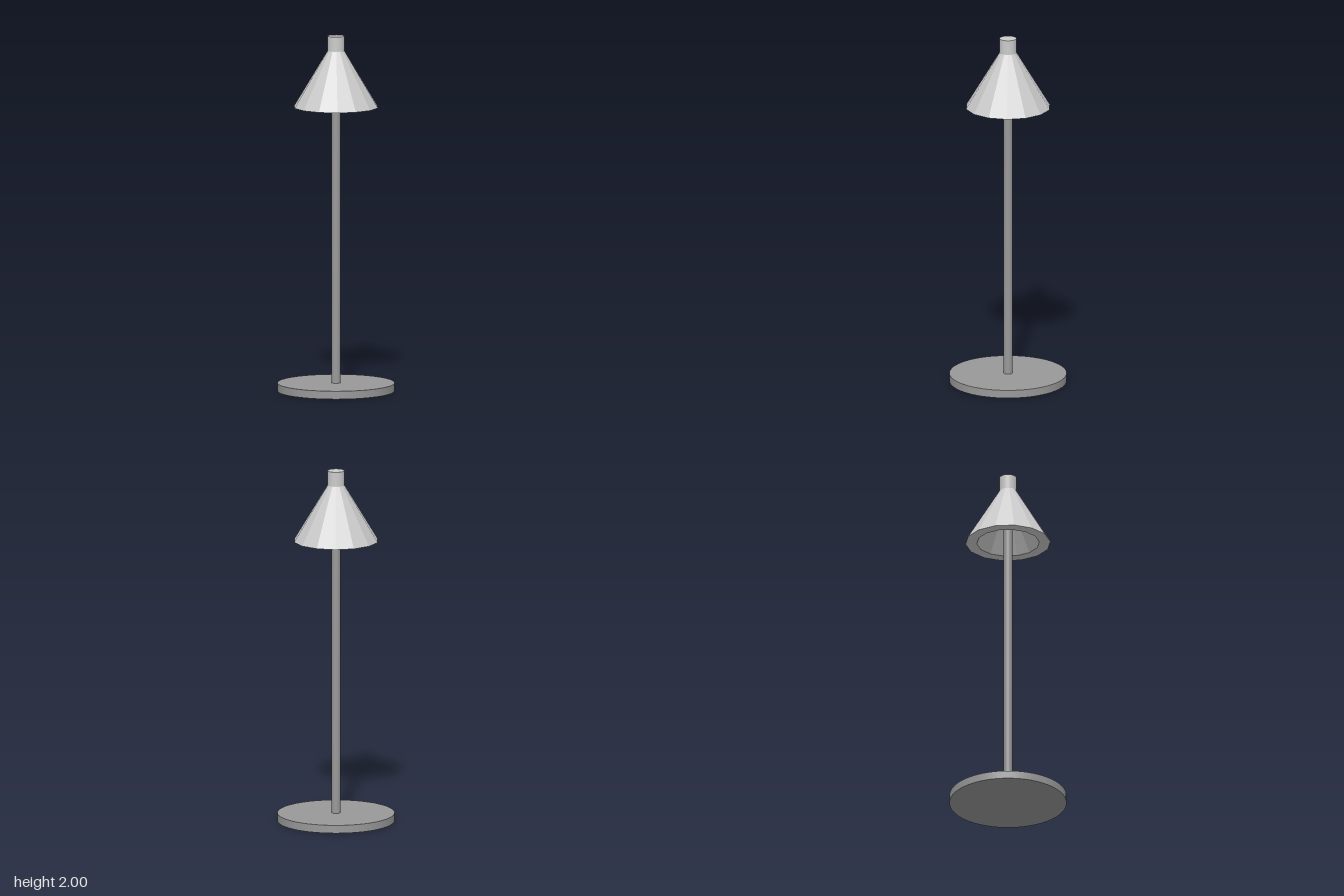
import * as THREE from 'three';

export function createModel() {
  const lamp = new THREE.Group();
  lamp.name = 'lamp';

  const dark = new THREE.MeshStandardMaterial({ color: 0x999999 });
  const light = new THREE.MeshStandardMaterial({ color: 0xcccccc });
  const faceted = new THREE.MeshStandardMaterial({ color: 0xcccccc, flatShading: true });

  // Upright cylinder between two heights
  const post = (name, radius, bottom, top, sides, material) => {
    const mesh = new THREE.Mesh(
      new THREE.CylinderGeometry(radius, radius, top - bottom, sides), material);
    mesh.name = name;
    mesh.position.y = (bottom + top) / 2;
    lamp.add(mesh);
  };

  post('base', 0.327, 0, 0.045, 64, dark);
  post('pole', 0.024, 0.045, 1.9, 32, dark);
  post('neck', 0.047, 1.91, 2, 32, light);

  // Thick 14-sided shade, hollow below: inner cone, flat rim, outer cone, top
  const profile = [[0.001, 1.89], [0.175, 1.6], [0.238, 1.6], [0.046, 1.92], [0, 1.92]]
    .map(([r, y]) => new THREE.Vector2(r, y));
  const shade = new THREE.Mesh(new THREE.LatheGeometry(profile, 14), faceted);
  shade.name = 'shade';
  shade.rotation.y = Math.PI / 2;
  lamp.add(shade);

  return lamp;
}
